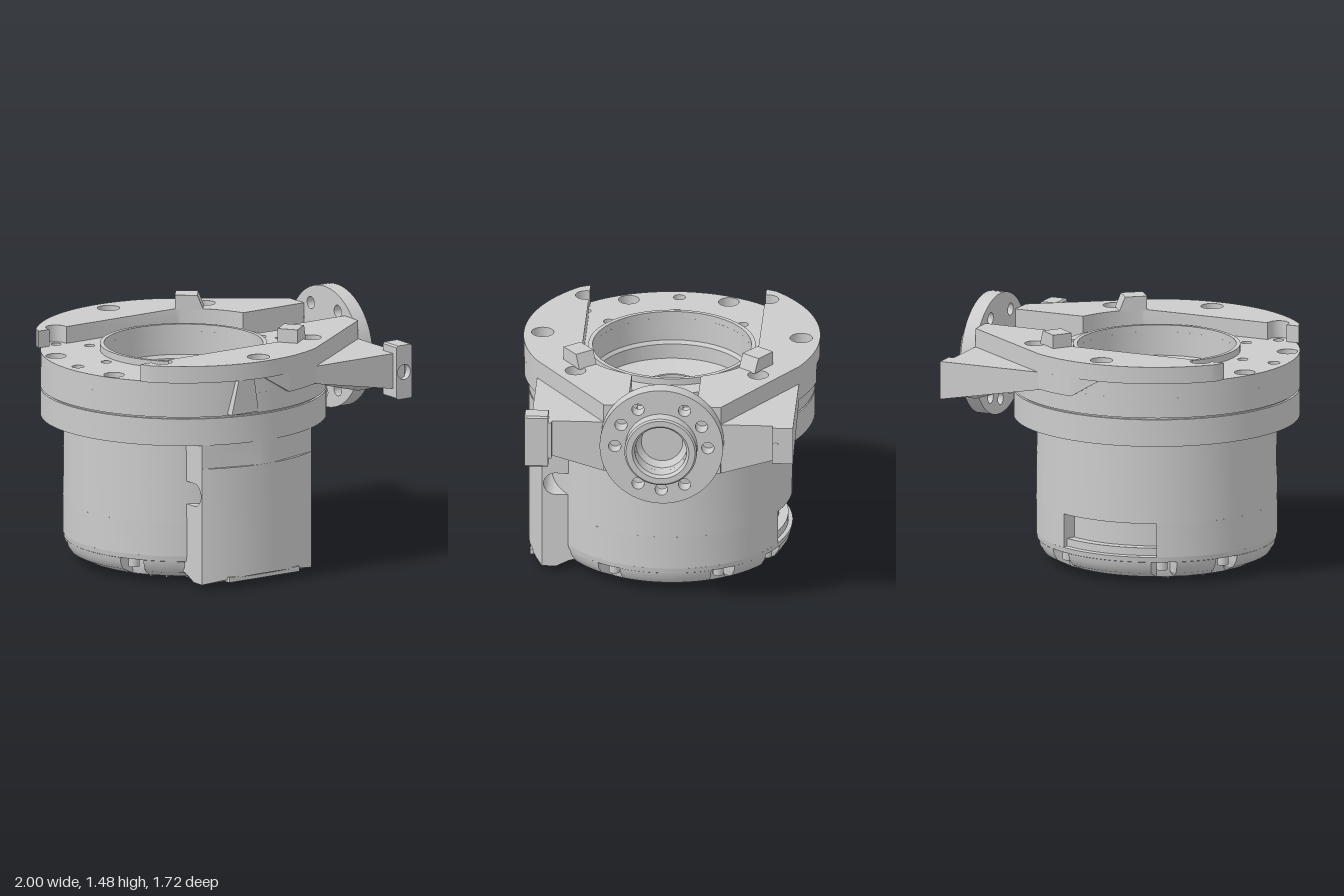
import * as THREE from 'three';
import { toCreasedNormals } from 'three/addons/utils/BufferGeometryUtils.js';

const AX = -0.17; // x of the main vertical axis
const BORE = 0.46;
const material = new THREE.MeshStandardMaterial({ color: 0xcccccc, side: THREE.DoubleSide });

export function createModel() {
  const root = new THREE.Group();

  const add = (name, geometry, x = 0, y = 0, z = 0) => {
    const mesh = new THREE.Mesh(toCreasedNormals(geometry, 0.6), material);
    mesh.name = name;
    mesh.position.set(x, y, z);
    root.add(mesh);
    return mesh;
  };
  const arc = (r, a0, a1, n = 32, cx = AX, cy = 0) => Array.from({ length: n + 1 }, (_, i) => {
    const a = a0 + (a1 - a0) * i / n;
    return [cx + r * Math.cos(a), cy + r * Math.sin(a)];
  });
  const outline = (pts, holes = []) => {
    const shape = new THREE.Shape(pts.map(p => new THREE.Vector2(p[0], p[1])));
    for (const [x, y, r] of holes) shape.holes.push(new THREE.Path().absarc(x, y, r, 0, Math.PI * 2, true));
    return shape;
  };
  const extrude = (pts, depth, holes, curveSegments = 20) =>
    new THREE.ExtrudeGeometry(outline(pts, holes), { depth, bevelEnabled: false, curveSegments });
  // plan outline in (x, z) raised from y0 to y1; underside may follow a rule in (x, z)
  const slab = (pts, y0, y1, holes = [], underside) => {
    const g = extrude(pts.map(([x, z]) => [x, -z]), y1 - y0, holes.map(([x, z, r]) => [x, -z, r]), 32)
      .rotateX(-Math.PI / 2).translate(0, y0, 0);
    const q = g.attributes.position;
    if (underside) for (let i = 0; i < q.count; i++)
      if (q.getY(i) < y0 + 0.001) q.setY(i, underside(q.getX(i), q.getZ(i)));
    return g;
  };
  // side outline in (x, y) spanning z0 to z1
  const sideSlab = (pts, z0, z1, holes) => extrude(pts, z1 - z0, holes).translate(0, 0, z0);
  const lathe = (pts, n = 96, start = 0, length = Math.PI * 2) =>
    new THREE.LatheGeometry(pts.map(p => new THREE.Vector2(p[0], p[1])), n, start, length);
  const disc = r => arc(r, 0, Math.PI * 2 * 95 / 96, 95);

  // Can with a recessed window at the back
  const W = 0.45;
  add('can', lathe([[0.7, 0.37], [0.695, 0.86]]), AX);
  add('canLower', lathe([[0.7, 0.17], [0.7, 0.37]], 84, Math.PI + W, 2 * Math.PI - 2 * W), AX);
  add('windowRecess', lathe([[0.7, 0.17], [0.675, 0.175], [0.675, 0.22], [0.62, 0.22], [0.62, 0.36], [0.7, 0.37]], 16, Math.PI - W, 2 * W), AX);
  for (const s of [-1, 1]) {
    const a = Math.PI + s * W;
    add('windowSide', new THREE.BoxGeometry(0.015, 0.2, 0.08), AX + 0.658 * Math.sin(a), 0.27, 0.658 * Math.cos(a)).rotation.y = a;
  }

  // Bottom cap with pockets for screws
  const pockets = [];
  for (const base of [0, Math.PI]) for (const d of [-62, -28, 28, 62]) pockets.push(base + d * Math.PI / 180);
  const cap = lathe([[0, 0.025], [0.52, 0.025], [0.59, 0.03], [0.66, 0.065], [0.685, 0.105], [0.692, 0.138], [0.695, 0.14], [0.7, 0.17]], 144);
  const p = cap.attributes.position;
  for (let i = 0; i < p.count; i++) {
    const x = p.getX(i), z = p.getZ(i), r = Math.hypot(x, z), a = Math.atan2(z, x);
    const near = pockets.some(b => Math.cos(a - b) > Math.cos(0.085));
    if (near && r > 0.6 && p.getY(i) < 0.139) p.setXYZ(i, x * 0.6 / r, p.getY(i), z * 0.6 / r);
  }
  add('bottomCap', cap, AX);
  for (const a of pockets)
    add('capScrew', new THREE.CylinderGeometry(0.032, 0.032, 0.06, 16), AX + 0.64 * Math.cos(a), 0.115, 0.64 * Math.sin(a));

  // Cooling ribs under the cap
  for (let i = 0; i < 12; i++) {
    const z = (i - 5.5) * 0.076, len = 2 * Math.sqrt(0.5 * 0.5 - z * z);
    add('coolingRib', new THREE.BoxGeometry(len, 0.02, 0.028), AX, 0.02, z);
    add('ribEdge', new THREE.CylinderGeometry(0.014, 0.014, len, 10).rotateZ(Math.PI / 2), AX, 0.014, z);
  }

  // Front terminal box: slotted body, bowed front and faceted top
  const x0 = -0.56, x1 = 0.22, zc = 0.733;
  const boxShape = outline([[0.5, 0.08], [0.57, 0.07], [0.65, 0.03], [zc, 0.03], [zc, 0.86], [0.5, 0.86]]);
  const slot = new THREE.Path();
  slot.moveTo(0.56, 0.485).lineTo(0.56, 0.62).lineTo(0.655, 0.62);
  slot.absarc(0.655, 0.5525, 0.0675, Math.PI / 2, -Math.PI / 2, true);
  boxShape.holes.push(slot);
  add('terminalBox', new THREE.ExtrudeGeometry(boxShape, { depth: x1 - x0, bevelEnabled: false })
    .rotateY(-Math.PI / 2).translate(x1, 0, 0));
  const bow = Math.acos(0.39 / 0.83);
  add('terminalBoxFront', slab(arc(0.83, Math.PI - bow, bow, 24), 0.03, 0.72, [], (x, z) => 0.03 + 0.42 * (z - zc)));
  add('terminalBoxTop', slab([[x0, zc], [-0.22, 0.828], [-0.12, 0.828], [x1, zc]], 0.72, 0.86));
  add('terminalBoxFoot', new THREE.BoxGeometry(0.5, 0.03, 0.08), AX, 0.055, 0.77);

  // Lower flange
  const ringHoles = Array.from({ length: 16 }, (_, i) => {
    const a = i * Math.PI / 8;
    return [AX + 0.75 * Math.cos(a), 0.75 * Math.sin(a), 0.028];
  });
  add('lowerFlange', slab(disc(0.83), 0.86, 1.02, [[AX, 0, BORE], ...ringHoles]));
  add('flangeSeam', slab(disc(0.815), 1.02, 1.03, [[AX, 0, BORE], ...ringHoles]));

  // Middle body, and its floor with an opening towards the outlet
  const throughHoles = [[AX, 0, BORE], [-0.92, 0, 0.035], [0.58, 0, 0.03]];
  const floorHoles = [[AX, 0, BORE], [-0.92, 0, 0.035], [-0.72, 0, 0.03], [0.38, 0, 0.03]];
  for (const s of [-1, 1]) {
    throughHoles.push([-0.87, s * 0.29, 0.03], [AX, s * 0.75, 0.03]);
    floorHoles.push([-0.87, s * 0.29, 0.06], [-0.56, s * 0.39, 0.03], [0.22, s * 0.39, 0.03],
      [AX, s * 0.75, 0.03], [0.36, s * 0.53, 0.03], [-0.7, s * 0.53, 0.03]);
  }
  add('middleBody', slab(disc(0.83), 1.03, 1.15, throughHoles));
  add('bodyFloor', slab([...arc(0.83, 0.243, Math.PI * 2 - 0.243, 90), ...arc(0.6, -0.34, 0.34, 16)], 1.15, 1.24, floorHoles));

  // Central bore with collar, floor and hub
  add('bore', lathe([[0.485, 1.24], [0.485, 1.28], [0.46, 1.28], [0.46, 1.1], [0.445, 1.08], [0.445, 0.99],
    [0.2, 0.96], [0.19, 0.99], [0.165, 1.02], [0.15, 1.02], [0.15, 0.98], [0, 0.98]]), AX);

  // Raised top plates, thicker towards the outlet, and the mounting arms
  for (const s of [-1, 1]) {
    const flip = pts => pts.map(([x, z]) => [x, s * z]);
    const right = [[0.83, 0.34], [0.83, 0.2], ...arc(0.6, 0.34, 1.016, 16)];
    const holes = [[AX, s * 0.75, 0.065], [0.36, s * 0.53, 0.06]];
    add('topPlate', slab(flip([[-0.84, 0.51], ...arc(0.86, 2.42, 1.086), ...right,
      [-0.64, 0.51], ...arc(0.06, 0, Math.PI, 12, -0.7, 0.53), [-0.76, 0.51]]), 1.24, 1.34, holes));
    add('topPlateThickening', slab(flip([[-0.02, 0.6], ...arc(0.86, 1.394, 1.086, 10), ...right]), 1.13, 1.24, [holes[1]]));
    add('topPlateStep', sideSlab([[-0.2, 1.24], [-0.02, 1.13], [-0.02, 1.24]], s > 0 ? 0.79 : -0.847, s > 0 ? 0.847 : -0.79));

    // arm whose underside falls away towards its tip and the outlet
    add('mountingArm', slab(flip([[0.15, 0.7], [0.23, 0.76], [0.86, 0.76], [0.86, 0.64], [0.83, 0.64], [0.83, 0.34], [0.2, 0.34]]),
      1.1, 1.23, [], (x, z) => 1.14 - 0.19 * (x - 0.15) - (x > 0.5 && Math.abs(z) < 0.4 ? 0.09 : 0)));

    // locating lug
    add('locatingLug', sideSlab([[-0.075, 0], [0.09, 0], [0.055, 0.085], [-0.075, 0.085]], -0.06, 0.06), 0.23, 1.335, s * 0.515)
      .rotation.y = s * 0.65;
  }

  // Front arm end block, with a bored boss, and the rear arm screw
  add('armEndBlock', sideSlab([[0.79, 0.96], [0.88, 0.96], [0.89, 0.97], [0.89, 1.27], [0.88, 1.28], [0.79, 1.28], [0.78, 1.27], [0.78, 0.97]],
    0.66, 0.795, [[0.832, 1.12, 0.045]]));
  add('armEndPlug', new THREE.CylinderGeometry(0.046, 0.046, 0.08, 20).rotateX(Math.PI / 2), 0.832, 1.12, 0.71);
  add('rearArmScrew', new THREE.CylinderGeometry(0.018, 0.018, 0.01, 16).rotateZ(Math.PI / 2), 0.858, 1.12, -0.66);

  // Wedge on the front of the body
  add('bodyWedge', sideSlab([[-0.42, 1.04], [-0.23, 1.04], [-0.26, 1.24], [-0.37, 1.24]], 0.7, 0.835));

  // Outlet neck with rounded troughs and a bossed centre rib, drilled through
  const drill = [[0.58, 0, 0.035]];
  add('outletNeck', slab([[0.5, -0.34], [0.84, -0.34], [0.84, 0.34], [0.5, 0.34]], 1, 1.15, drill, x => 1.02 - 0.28 * (x - 0.5)));
  add('neckRib', slab([[0.42, -0.075], [0.84, -0.075], [0.84, 0.075], [0.42, 0.075]], 1.14, 1.24, drill));
  for (const s of [-1, 1]) {
    add('troughFillet', new THREE.CylinderGeometry(0.035, 0.035, 0.43, 16).rotateZ(Math.PI / 2), 0.625, 1.15, s * 0.2);
    add('ribFillet', new THREE.CylinderGeometry(0.025, 0.025, 0.42, 16).rotateZ(Math.PI / 2), 0.63, 1.15, s * 0.075);
  }
  add('neckBoss', lathe([[0.065, 1.15], [0.065, 1.26], [0.035, 1.26], [0.035, 1.1]], 24), 0.58);

  // Outlet flange, boss and socket, facing +x
  const flangeHoles = [0, 30, 60, 120, 150, 180, 240, 270, 300].map(d => {
    const a = d * Math.PI / 180;
    return [0.27 * Math.cos(a), 0.27 * Math.sin(a), 0.036];
  });
  add('outletFlange', extrude(arc(0.358, 0, Math.PI * 2 * 63 / 64, 63, 0, 0), 0.09, [[0, 0, 0.15], ...flangeHoles])
    .rotateY(Math.PI / 2), 0.83, 1.12);
  add('outletBoss', lathe([[0.21, 0.9], [0.21, 0.99], [0.2, 1], [0.165, 1], [0.15, 0.98], [0.15, 0.88], [0.12, 0.845], [0, 0.845]], 48)
    .rotateZ(-Math.PI / 2), 0, 1.12);
  return root;
}
